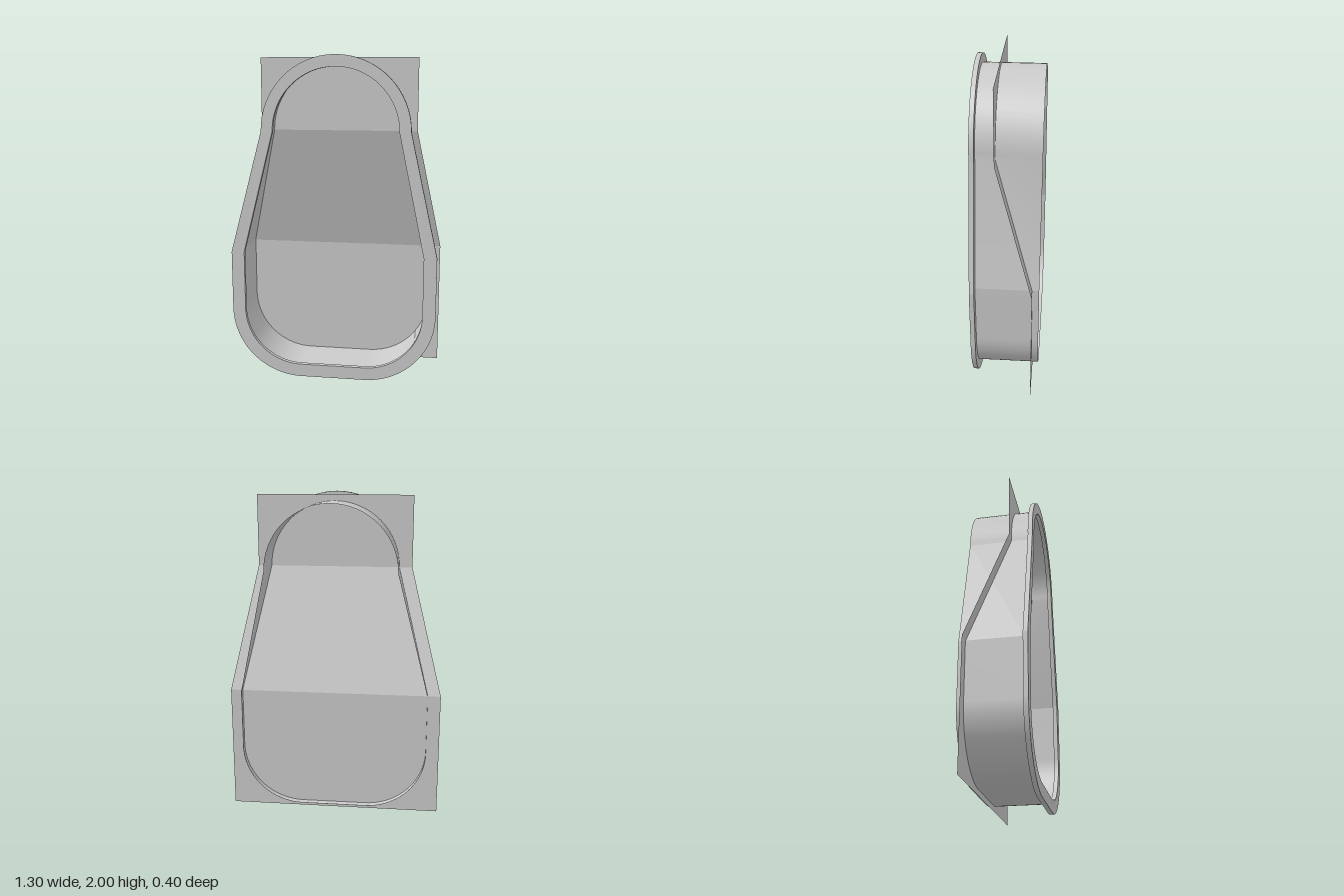
import * as THREE from 'three';
import { toCreasedNormals } from 'three/addons/utils/BufferGeometryUtils.js';

const FRONT = 0.2, FLANGE_BACK = 0.172, BACK = -0.2;

// Rounded, tapering outline, inset from the flange's outer edge
function outline(PathType, inset) {
  const r = 0.435 - inset, top = 0.45 - inset * 0.875;
  const p = new PathType();
  p.moveTo(-0.2, 0.435 - r);
  p.lineTo(0.2, 0.435 - r);
  p.absarc(0.2, 0.435, r, -Math.PI / 2, 0, false);
  p.lineTo(0.2 + r, 0.8);
  p.absarc(0.017, 1.55, top, 0, Math.PI, false);
  p.lineTo(-0.2 - r, 0.8);
  p.absarc(-0.2, 0.435, r, Math.PI, Math.PI * 1.5, false);
  p.closePath();
  return p;
}

// Open wall swept straight back along the outline
function sweptWall(points, z0, z1) {
  const pos = [];
  for (let i = 0; i < points.length - 1; i++) {
    const a = points[i], b = points[i + 1];
    if (a.distanceTo(b) < 1e-5) continue;
    pos.push(a.x, a.y, z1, b.x, b.y, z1, b.x, b.y, z0);
    pos.push(a.x, a.y, z1, b.x, b.y, z0, a.x, a.y, z0);
  }
  const g = new THREE.BufferGeometry();
  g.setAttribute('position', new THREE.Float32BufferAttribute(pos, 3));
  return toCreasedNormals(g, 0.2);
}

export function createModel() {
  const group = new THREE.Group();
  const add = (name, geometry, options = {}) => {
    const material = new THREE.MeshStandardMaterial({ color: 0xcccccc, ...options });
    const mesh = new THREE.Mesh(geometry, material);
    mesh.name = name;
    group.add(mesh);
  };

  // Flat front rim with the opening cut out
  const rim = outline(THREE.Shape, 0);
  rim.holes.push(outline(THREE.Path, 0.08));
  const flange = new THREE.ExtrudeGeometry(rim, {
    depth: FRONT - FLANGE_BACK, bevelEnabled: false, curveSegments: 16,
  });
  flange.translate(0, 0, FLANGE_BACK);
  add('flange', toCreasedNormals(flange, 0.2));

  // Thin collar behind the rim, open at both ends
  const collar = sweptWall(outline(THREE.Path, 0.06).getPoints(16), FLANGE_BACK, BACK);
  add('collar', collar, { side: THREE.DoubleSide });

  // Bent sheet crossing the collar: rows of [left, right, y, z], top to bottom
  const rows = [
    [-0.46, 0.497, 1.985, 0.06],
    [-0.46, 0.497, 1.55, 0.06],
    [-0.655, 0.65, 0.795, -0.16],
    [-0.655, 0.65, 0.025, -0.16],
  ];
  const sheet = new THREE.PlaneGeometry(1, 1, 1, rows.length - 1);
  rows.forEach(([left, right, y, z], i) => {
    sheet.attributes.position.setXYZ(i * 2, left, y, z);
    sheet.attributes.position.setXYZ(i * 2 + 1, right, y, z);
  });
  sheet.computeVertexNormals();
  add('bentSheet', sheet, { side: THREE.DoubleSide, flatShading: true });

  return group;
}
